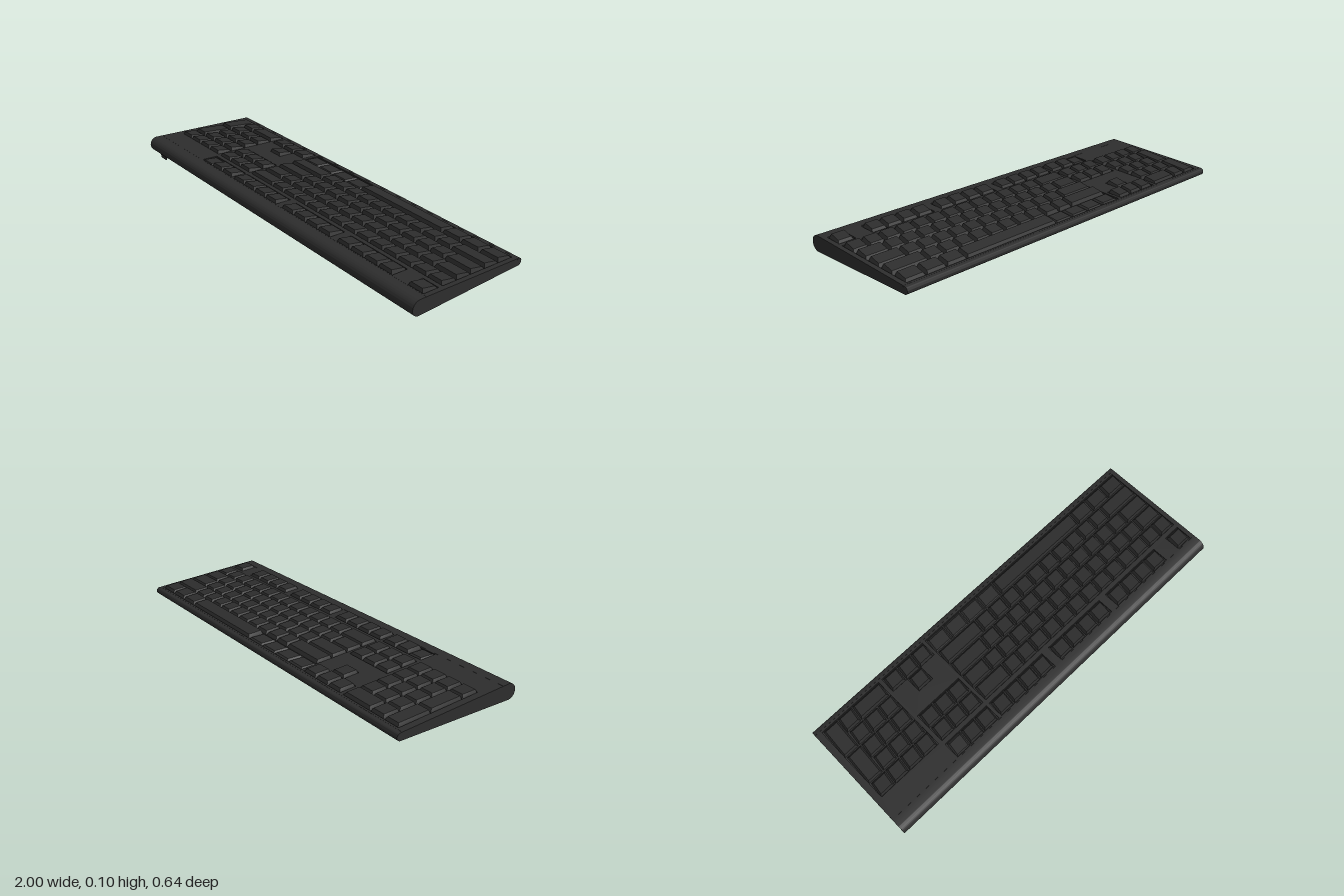
import * as THREE from 'three';
import { toCreasedNormals } from 'three/addons/utils/BufferGeometryUtils.js';

const SLOPE = 0.0666, DECK_Y = 0.066;   // tilted top deck
const WELL = 0.007;                     // depth of the key wells
const U = 0.0867, ROW = 0.0845;         // key pitch across and between rows
const deckY = z => DECK_Y + SLOPE * z;
const rowZ = r => (r === 6 ? 0.2025 : -0.2425 + (r - 1) * ROW);
const repeat = n => Array(n).fill(1);

export function createModel() {
  const model = new THREE.Group();
  model.name = 'keyboard';
  const plastic = new THREE.MeshStandardMaterial({ color: 0x2d2d2d });
  plastic.name = 'charcoal plastic';

  const add = (parent, geometry, name) => {
    const mesh = new THREE.Mesh(geometry, plastic);
    mesh.name = name;
    parent.add(mesh);
    return mesh;
  };

  // Wedge body with rounded front and back edges; its top is cut down for the deck plate
  const Z0 = -0.295, Z1 = 0.25;
  const side = new THREE.Shape();
  side.moveTo(-0.301, 0.01);
  side.lineTo(0.2853, 0.01);
  side.absarc(0.2853, 0.0475, 0.0375, -Math.PI / 2, Math.PI / 2, false);
  side.lineTo(Z1, deckY(Z1));
  side.lineTo(Z1, deckY(Z1) - WELL);
  side.lineTo(Z0, deckY(Z0) - WELL);
  side.lineTo(Z0, deckY(Z0));
  side.absarc(-0.301, 0.028, 0.018, Math.PI / 2, Math.PI * 1.5, false);
  const body = new THREE.ExtrudeGeometry(side, { depth: 2, bevelEnabled: false, curveSegments: 16 });
  body.rotateY(-Math.PI / 2).translate(1, 0, 0);
  add(model, toCreasedNormals(body, 0.5), 'body');

  // Everything on the deck lives in a tilted group
  const deck = new THREE.Group();
  deck.name = 'deck';
  deck.position.y = DECK_Y;
  deck.rotation.x = -Math.atan(SLOPE);
  model.add(deck);

  // Deck plate with an opening for each block of keys
  const rect = (P, x0, x1, z0, z1) => {
    const p = new P();
    p.moveTo(x0, z0);
    p.lineTo(x1, z0);
    p.lineTo(x1, z1);
    p.lineTo(x0, z1);
    p.closePath();
    return p;
  };
  const plate = rect(THREE.Shape, -1, 1, Z0, Z1);
  const low = rowZ(1) - ROW / 2, high = rowZ(5) + ROW / 2;
  const fLow = rowZ(6) - ROW / 2, fHigh = rowZ(6) + ROW / 2;
  const navX = -0.34, padX = -0.62, mainX = 0.977;
  const navEnd = navX - 3 * U;
  const openings = [
    [mainX - 15 * U, mainX, low, high],                       // main block
    [padX - 4 * U, padX, low, high],                          // number pad
    [navEnd, navX, rowZ(4) - ROW / 2, high],                  // navigation block
    [navEnd, navX, low, low + ROW],                           // arrows
    [navX - 2 * U, navX - U, low + ROW + 0.001, low + 2 * ROW],
    [navEnd, navX, fLow, fHigh],
    [mainX - U, mainX, fLow, fHigh],                          // escape
    ...[2, 6.5, 11].map(n => [mainX - (n + 4) * U, mainX - n * U, fLow, fHigh]),
  ];
  plate.holes = openings.map(o => rect(THREE.Path, ...o));
  const plateGeometry = new THREE.ExtrudeGeometry(plate, { depth: WELL, bevelEnabled: false });
  add(deck, plateGeometry.rotateX(Math.PI / 2), 'deckPlate');

  // Tapered keycap: top leans a little and slopes down toward the thin edge
  const key = (x, z, w, d, flush, name) => {
    const g = new THREE.BoxGeometry(1, 1, 1);
    const p = g.attributes.position;
    for (let i = 0; i < p.count; i++) {
      const sx = Math.sign(p.getX(i)), sz = Math.sign(p.getZ(i));
      const top = p.getY(i) > 0;
      const inset = top ? 0.011 : 0.003;
      const y = !top ? -WELL : flush ? 0.001 : sz > 0 ? 0.014 : 0.009;
      p.setXYZ(i, sx * (w / 2 - inset) - sz * 0.004, y, sz * (d / 2 - inset) + (top ? 0.003 : 0));
    }
    g.computeVertexNormals();
    add(deck, g, name).position.set(x, 0, z);
  };

  // Row of keys running toward -x; negative widths are gaps
  const keyRow = (x, r, widths, name, flush = () => false) => {
    widths.forEach((w, i) => {
      if (w > 0) key(x - w * U / 2, rowZ(r), w * U, ROW, flush(i), name);
      x -= Math.abs(w) * U;
    });
  };

  // Main block; the modifiers beside the space bar sit almost flush
  keyRow(mainX, 6, [1, -1, ...repeat(4), -0.5, ...repeat(4), -0.5, ...repeat(4)], 'functionKey');
  keyRow(mainX, 5, [...repeat(13), 2], 'numberRowKey');
  keyRow(mainX, 4, [1.5, ...repeat(12), 1.5], 'letterKey');
  keyRow(mainX, 3, [1.75, ...repeat(11), 2.25], 'letterKey');
  keyRow(mainX, 2, [2.25, ...repeat(10), 2.75], 'letterKey');
  keyRow(mainX, 1, [1.25, 1.25, 1.25, 6.25, 1.25, 1.25, 1.25, 1.25], 'bottomRowKey', i => i > 3);

  // Navigation and arrow keys
  for (const r of [6, 5, 4]) keyRow(navX, r, repeat(3), 'navigationKey', i => r === 6 && i === 2);
  keyRow(navX, 2, [-1, 1], 'arrowKey');
  keyRow(navX, 1, repeat(3), 'arrowKey');

  // Number pad with two double-height keys and a double-width zero
  keyRow(padX, 5, repeat(4), 'padKey');
  for (const r of [4, 3, 2]) keyRow(padX, r, repeat(3), 'padKey');
  keyRow(padX, 1, [2, 1], 'padKey');
  for (const r of [1, 3]) key(padX - 3.5 * U, rowZ(r) + ROW / 2, U, 2 * ROW, false, 'tallPadKey');

  // Small foot under the thick edge
  add(model, new THREE.BoxGeometry(0.05, 0.02, 0.006), 'foot').position.set(-0.895, 0.01, 0.305);

  return model;
}
